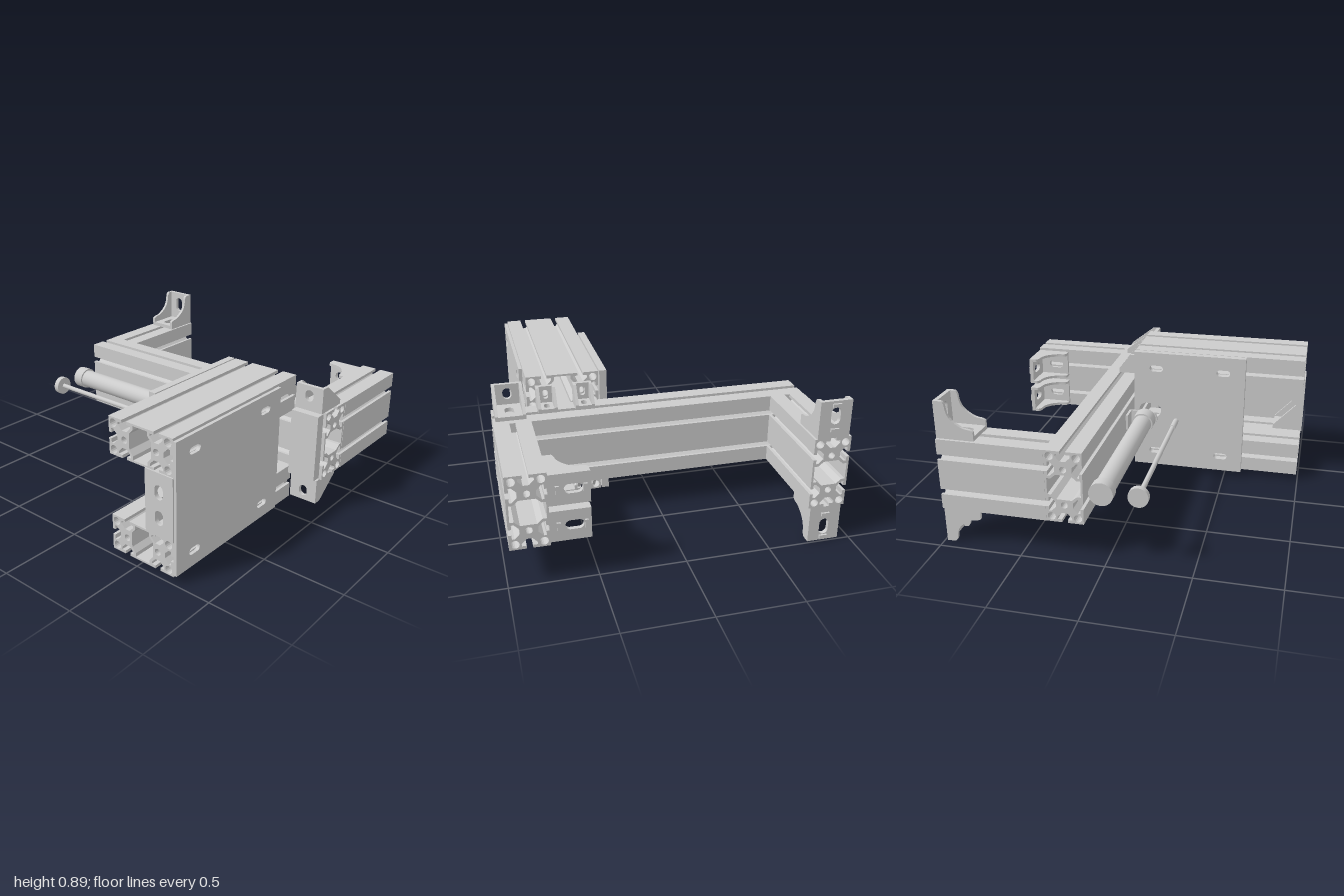
import * as THREE from 'three';

const grey = new THREE.MeshStandardMaterial({ color: 0xcccccc });
const V = (x, y, z) => new THREE.Vector3(x, y, z);
const X = V(1, 0, 0), Y = V(0, 1, 0), Z = V(0, 0, 1);

function add(parent, name, geometry, x = 0, y = 0, z = 0) {
  const mesh = new THREE.Mesh(geometry, grey);
  mesh.name = name;
  mesh.position.set(x, y, z);
  parent.add(mesh);
  return mesh;
}

// Places an object with its local x and y axes along the given directions
function orient(object, origin, xDir, yDir) {
  const m = new THREE.Matrix4().makeBasis(xDir, yDir, xDir.clone().cross(yDir));
  object.quaternion.setFromRotationMatrix(m);
  object.position.copy(origin);
  return object;
}

const poly = (pts) => new THREE.Shape(pts.map(([x, y]) => new THREE.Vector2(x, y)));
const extrude = (shape, depth) =>
  new THREE.ExtrudeGeometry(shape, { depth, bevelEnabled: false, curveSegments: 8 });

function circle(x, y, r) {
  return new THREE.Path().absarc(x, y, r, 0, Math.PI * 2, true);
}

// Rounded slot, w by h, centred on x, y
function slot(x, y, w, h) {
  const r = Math.min(w, h) / 2, p = new THREE.Path();
  if (w >= h) {
    p.absarc(x + w / 2 - r, y, r, -Math.PI / 2, Math.PI / 2, false);
    p.absarc(x - w / 2 + r, y, r, Math.PI / 2, Math.PI * 1.5, false);
  } else {
    p.absarc(x, y + h / 2 - r, r, 0, Math.PI, false);
    p.absarc(x, y - h / 2 + r, r, Math.PI, Math.PI * 2, false);
  }
  p.closePath();
  return p;
}

function plate(x0, y0, x1, y1, depth, slots) {
  const s = poly([[x0, y0], [x1, y0], [x1, y1], [x0, y1]]);
  s.holes = slots.map((a) => slot(...a));
  return extrude(s, depth);
}

// T-slotted double rail, 0.22 by 0.44 in section
function railGeometry(length) {
  const W = 0.11, H = 0.22, outline = [];
  const groove = [[-0.017, 0], [-0.017, 0.018], [-0.043, 0.018], [-0.043, 0.032], [-0.016, 0.06],
    [0.016, 0.06], [0.043, 0.032], [0.043, 0.018], [0.017, 0.018], [0.017, 0]];
  const cut = (f) => groove.forEach(([t, d]) => outline.push(f(t, d)));
  outline.push([-W, -H]);
  cut((t, d) => [t, -H + d]);
  outline.push([W, -H]);
  for (const c of [-0.11, 0.11]) cut((t, d) => [W - d, c + t]);
  outline.push([W, H]);
  cut((t, d) => [-t, H - d]);
  outline.push([-W, H]);
  for (const c of [0.11, -0.11]) cut((t, d) => [-W + d, c - t]);

  const shape = poly(outline);
  for (const sy of [-1, 1]) {
    shape.holes.push(circle(0, sy * 0.11, 0.02));
    for (const sx of [-1, 1]) shape.holes.push(circle(sx * 0.077, sy * 0.187, 0.024));
  }
  shape.holes.push(poly([[-0.098, -0.05], [-0.075, -0.05], [-0.045, -0.076], [0.045, -0.076],
    [0.075, -0.05], [0.098, -0.05], [0.098, 0.05], [0.075, 0.05], [0.045, 0.076],
    [-0.045, 0.076], [-0.075, 0.05], [-0.098, 0.05]]));
  return extrude(shape, length);
}

// Hollow corner bracket: two slotted legs and two side webs
function bracket(name, L, H, w, curved) {
  const g = new THREE.Group(), t = 0.025;
  g.name = name;
  const web = new THREE.Shape();
  web.moveTo(0, 0);
  web.lineTo(L, 0);
  if (curved) {
    web.lineTo(L, 0.055);
    web.bezierCurveTo(L - 0.02, 0.075, L - 0.05, 0.06, L - 0.085, 0.085);
    web.bezierCurveTo(0.075, 0.12, 0.07, 0.16, 0.067, H - 0.025);
    web.quadraticCurveTo(0.06, H, 0.045, H);
  } else {
    web.lineTo(L, 0.03);
    web.lineTo(0.05, H);
  }
  web.lineTo(0, H);
  for (const z of [-w / 2, w / 2 - 0.018]) add(g, 'sideWeb', extrude(web, 0.018), 0, 0, z);
  const leg = (len) => plate(-w / 2, 0, w / 2, len, t, [[0, len * 0.6, w * 0.3, len * 0.45]]);
  orient(add(g, 'uprightLeg', leg(H)), V(t, 0, 0), Z, Y);
  orient(add(g, 'baseLeg', leg(L)), V(0, 0, 0), Z.clone(), X);
  // Locating tabs
  if (curved) for (const y of [0.05, 0.2])
    add(g, 'locatingTab', new THREE.BoxGeometry(0.02, 0.02, 0.05), -0.002, y, 0);
  return g;
}

// Turned part along z, from a list of [radius, z]
function turned(points, segments = 32) {
  const geo = new THREE.LatheGeometry(points.map(([r, z]) => new THREE.Vector2(r, z)), segments);
  return geo.rotateX(Math.PI / 2).toNonIndexed();
}

function cylinderZ(parent, name, x, y, z0, z1, r, seg = 32) {
  const geo = new THREE.CylinderGeometry(r, r, z1 - z0, seg).rotateX(Math.PI / 2);
  return add(parent, name, geo, x, y, (z0 + z1) / 2);
}

export function createModel() {
  const root = new THREE.Group();
  root.name = 'railFrame';
  const neg = (v) => v.clone().negate();

  // Long beam and the two arms
  add(root, 'mainBeam', railGeometry(1.925), 0.24, 0.45, -0.95);
  for (const [name, z] of [['backArm', -0.842], ['frontArm', 0.867]])
    orient(add(root, name, railGeometry(0.635)), V(0.35, 0.45, z), neg(Z), Y);

  // Pair of side rails lying flat
  for (const [name, y] of [['upperSideRail', 0.747], ['lowerSideRail', 0.153]])
    orient(add(root, name, railGeometry(1.12)), V(-0.99, y, 0.535), Y, Z);

  // Cover plates
  const frontSlots = [], backSlots = [];
  for (const y of [0.15, 0.75]) {
    for (const x of [-0.84, -0.21]) frontSlots.push([x, y, 0.09, 0.042]);
    for (const x of [-0.47, -0.02]) backSlots.push([x, y, 0.09, 0.042]);
  }
  backSlots.push([0.02, 0.45, 0.15, 0.1]);
  add(root, 'frontPlate', plate(-0.99, 0.055, -0.06, 0.842, 0.02, frontSlots), 0, 0, 0.756);
  add(root, 'backPlate', plate(-0.615, 0.045, 0.13, 0.858, 0.045, backSlots), 0, 0, 0.262);

  // Brackets, mirrored about the middle height
  for (const s of [1, -1]) {
    const up = V(0, s, 0), h = (d) => 0.45 + s * d;
    const put = (b, origin, xd, yd) => root.add(orient(b, origin, xd, yd));
    put(bracket('backArmBracket', 0.225, 0.225, 0.19, true), V(0.985, h(0.22), -0.84), neg(X), up);
    put(bracket('frontArmBracket', 0.225, 0.228, 0.185, true), V(0.985, h(0.11), 0.76), neg(X), neg(Z));
    put(bracket('cornerBracket', 0.21, 0.155, 0.18, false), V(0.1, h(0.22), 0.87), X, up);
    put(bracket('endBracket', 0.2, 0.19, 0.19, false), V(-0.998, h(0.19), 0.665), X, neg(up));
    for (const z of [0.42, 0.645])
      put(bracket('smallBracket', 0.13, 0.13, 0.115, false), V(0.13, h(0.22), z), X, up);
  }

  // Upright pad beside the beam
  add(root, 'mountingPad', new THREE.BoxGeometry(0.06, 0.42, 0.18), 0.1, 0.45, 0.865);

  // Cylinder with end caps, neck and nut
  add(root, 'cylinderBody', turned([[0, -0.98], [0.07, -0.98], [0.07, -0.98], [0.07, -0.91],
    [0.07, -0.91], [0.06, -0.91], [0.06, -0.91], [0.06, 0.015], [0.06, 0.015], [0.07, 0.015],
    [0.07, 0.015], [0.07, 0.11], [0.07, 0.11], [0, 0.11]]), 0.02, 0.45, 0);
  cylinderZ(root, 'cylinderNut', 0.02, 0.45, 0.12, 0.145, 0.05, 6);
  cylinderZ(root, 'cylinderNeck', 0.02, 0.45, 0.1, 0.165, 0.033);

  // Angle that holds the cylinder to the beam
  const face = new THREE.Shape();
  face.moveTo(0.13, 0.4);
  face.lineTo(0.13, 0.5);
  face.lineTo(-0.01, 0.5);
  face.absarc(-0.01, 0.45, 0.05, Math.PI / 2, Math.PI * 1.5, false);
  add(root, 'cylinderMountFace', extrude(face, 0.012), 0, 0, 0.11);
  add(root, 'cylinderMountFlange', new THREE.BoxGeometry(0.015, 0.1, 0.11), 0.122, 0.45, 0.067);

  // Loose rod with a disc head
  cylinderZ(root, 'rodHead', -0.187, 0.45, -0.972, -0.937, 0.059);
  cylinderZ(root, 'rodShaft', -0.187, 0.45, -0.94, 0, 0.015, 20);
  cylinderZ(root, 'rodTip', -0.187, 0.45, -0.01, 0.11, 0.018, 20);
  return root;
}
